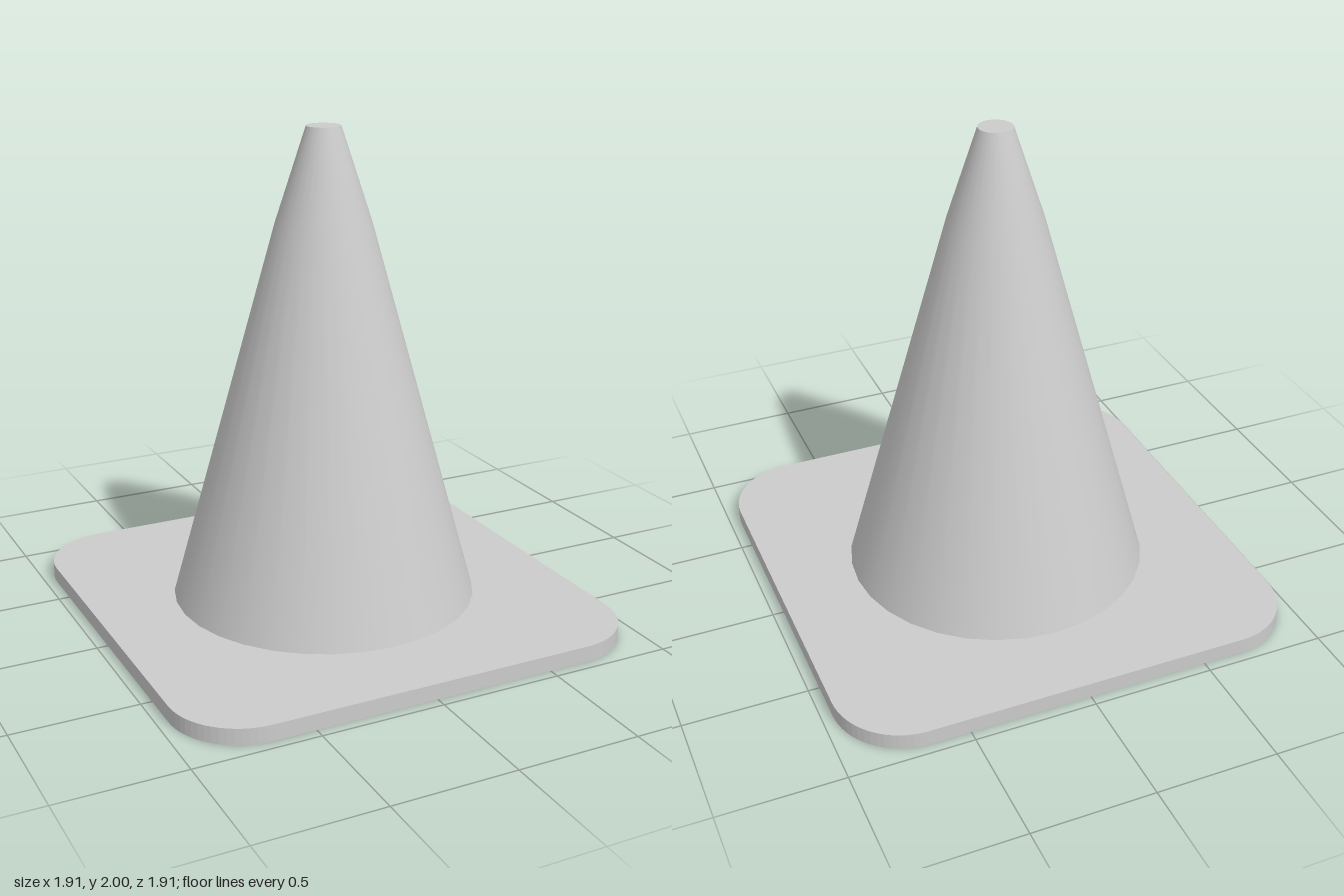
import * as THREE from 'three';

const SIDES = 32;
const PLATE_HALF = 0.955, PLATE_TOP = 0.065, CORNER = 0.285;
const BASE_R = 0.625, TOP_R = 0.069;

// Square outline with rounded corners
function roundedSquare(h, r) {
  const s = new THREE.Shape();
  const c = h - r;
  s.absarc(c, c, r, 0, Math.PI / 2);
  s.absarc(-c, c, r, Math.PI / 2, Math.PI);
  s.absarc(-c, -c, r, Math.PI, Math.PI * 1.5);
  s.absarc(c, -c, r, Math.PI * 1.5, Math.PI * 2);
  s.closePath();
  return s;
}

export function createModel() {
  const group = new THREE.Group();
  const material = new THREE.MeshStandardMaterial({ color: 0xcccccc });
  const add = (name, geometry) => {
    const mesh = new THREE.Mesh(geometry, material);
    mesh.name = name;
    group.add(mesh);
    return mesh;
  };

  // Flat base plate lying on the ground
  const plate = new THREE.ExtrudeGeometry(roundedSquare(PLATE_HALF, CORNER), {
    depth: PLATE_TOP, bevelEnabled: false, curveSegments: 8,
  });
  plate.rotateX(-Math.PI / 2);
  add('basePlate', plate);

  // Cone body, tapering a little faster near the tip
  const profile = [[BASE_R, PLATE_TOP], [0.193, 1.62], [TOP_R, 2]];
  add('coneBody', new THREE.LatheGeometry(profile.map(([r, y]) => new THREE.Vector2(r, y)), SIDES));

  // Flat cap closing the tip
  const cap = new THREE.CircleGeometry(TOP_R, SIDES);
  cap.rotateX(-Math.PI / 2);
  add('tipCap', cap).position.y = 2;

  return group;
}
